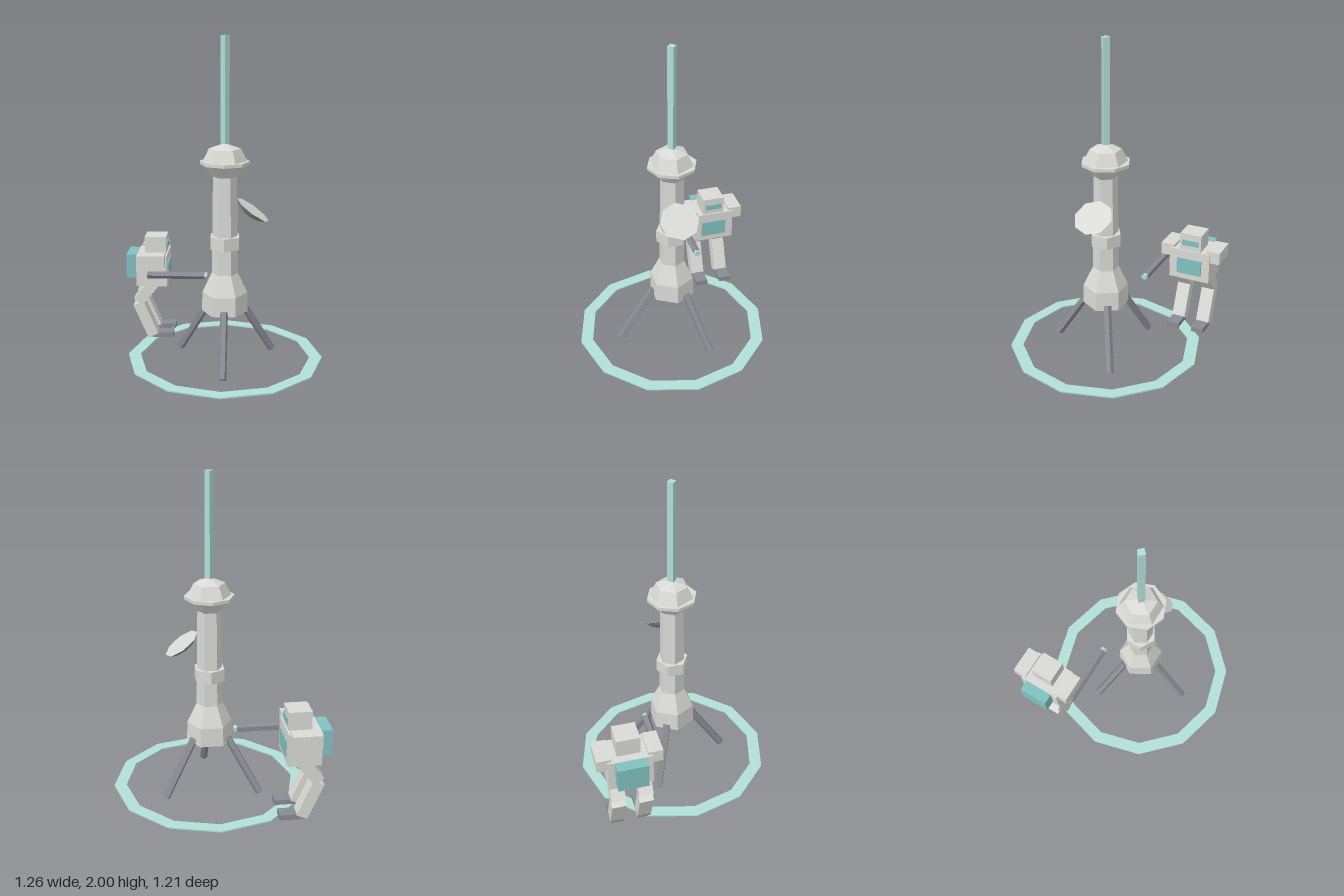
import * as THREE from 'three';

const material = (name, color) => {
  const m = new THREE.MeshStandardMaterial({ color, flatShading: true });
  m.name = name;
  return m;
};

export function createModel() {
  const lightGrey = material('lightGrey', 0xd9d9d5);
  const darkGrey = material('darkGrey', 0x8a8c93);
  const paleTeal = material('paleTeal', 0xb1dfd6);
  const teal = material('teal', 0x82c1c1);

  const add = (parent, name, geometry, mat, x = 0, y = 0, z = 0) => {
    const mesh = new THREE.Mesh(geometry, mat);
    mesh.name = name;
    mesh.position.set(x, y, z);
    parent.add(mesh);
    return mesh;
  };
  // Box given by its extents on each axis
  const box = (parent, name, mat, [x0, x1], [y0, y1], [z0, z1]) =>
    add(parent, name, new THREE.BoxGeometry(x1 - x0, y1 - y0, z1 - z0), mat,
      (x0 + x1) / 2, (y0 + y1) / 2, (z0 + z1) / 2);
  // Prism running between two points
  const bar = (parent, name, mat, from, to, radius, sides) => {
    const a = new THREE.Vector3(...from), b = new THREE.Vector3(...to);
    const d = b.clone().sub(a);
    const mesh = add(parent, name, new THREE.CylinderGeometry(radius, radius, d.length(), sides), mat);
    mesh.position.copy(a).add(b).multiplyScalar(0.5);
    mesh.quaternion.setFromUnitVectors(new THREE.Vector3(0, 1, 0), d.normalize());
    return mesh;
  };
  const profile = (pts) => pts.map(([r, y]) => new THREE.Vector2(r, y));

  const model = new THREE.Group();
  model.name = 'towerAndRobot';

  // ---- Tower ----
  const tower = new THREE.Group();
  tower.name = 'tower';
  tower.position.x = 0.023;
  model.add(tower);

  // Flat twelve-sided ground ring
  const ngon = (r) => Array.from({ length: 12 }, (_, i) =>
    new THREE.Vector2(r * Math.cos(i * Math.PI / 6), r * Math.sin(i * Math.PI / 6)));
  const ringShape = new THREE.Shape(ngon(0.605));
  ringShape.holes.push(new THREE.Path(ngon(0.528)));
  const ringGeometry = new THREE.ExtrudeGeometry(ringShape, { depth: 0.008, bevelEnabled: false });
  ringGeometry.rotateX(-Math.PI / 2);
  add(tower, 'groundRing', ringGeometry, paleTeal, 0, 0.021, 0);

  // Hexagonal column with wide foot and flared top
  add(tower, 'column', new THREE.LatheGeometry(profile([
    [0, 0.325], [0.142, 0.325], [0.138, 0.445], [0.08, 0.57], [0.072, 1.17], [0.135, 1.245], [0, 1.245],
  ]), 6, Math.PI / 6), lightGrey);
  add(tower, 'collar', new THREE.CylinderGeometry(0.099, 0.099, 0.077, 6), lightGrey, 0, 0.767, 0);

  // Head: octagonal brim and low hexagonal dome
  add(tower, 'brim', new THREE.CylinderGeometry(0.15, 0.15, 0.02, 8), lightGrey, 0, 1.255, 0);
  const dome = add(tower, 'dome',
    new THREE.SphereGeometry(0.135, 6, 2, 0, Math.PI * 2, 0, Math.PI / 2), lightGrey, 0, 1.258, 0);
  dome.scale.y = 0.85;
  add(tower, 'antenna', new THREE.CylinderGeometry(0.027, 0.027, 0.63, 4), paleTeal, 0, 1.685, 0);

  // Tripod legs, one to the front
  for (let i = 0; i < 3; i++) {
    const a = i * Math.PI * 2 / 3;
    const at = (r, y) => [r * Math.sin(a), y, r * Math.cos(a)];
    bar(tower, 'tripodLeg', darkGrey, at(0.12, 0.355), at(0.338, 0.015), 0.025, 5);
  }

  // Tilted dish
  const dish = new THREE.Group();
  dish.name = 'dish';
  dish.position.set(0.169, 0.967, 0);
  dish.rotation.z = -0.62;
  tower.add(dish);
  add(dish, 'dishBowl', new THREE.LatheGeometry(profile([
    [0, -0.042], [0.05, -0.036], [0.09, -0.021], [0.119, 0],
  ]), 8), darkGrey);
  const face = new THREE.CircleGeometry(0.119, 8);
  face.rotateX(-Math.PI / 2);
  add(dish, 'dishFace', face, lightGrey);

  // ---- Robot, looking toward +x ----
  const robot = new THREE.Group();
  robot.name = 'robot';
  robot.position.z = -0.404;
  model.add(robot);

  box(robot, 'torso', lightGrey, [-0.564, -0.366], [0.383, 0.585], [-0.134, 0.134]);
  box(robot, 'head', lightGrey, [-0.514, -0.375], [0.58, 0.697], [-0.071, 0.071]);
  box(robot, 'visor', teal, [-0.375, -0.366], [0.62, 0.655], [-0.054, 0.054]);
  box(robot, 'chestPlate', teal, [-0.366, -0.358], [0.422, 0.527], [-0.082, 0.082]);
  box(robot, 'backpack', teal, [-0.633, -0.564], [0.425, 0.583], [-0.092, 0.092]);

  // Limb box in the side plane, between two (x, y) joints
  const limb = (name, [x0, y0], [x1, y1], z) => {
    const mesh = add(robot, name,
      new THREE.BoxGeometry(0.072, Math.hypot(x1 - x0, y1 - y0), 0.086), lightGrey,
      (x0 + x1) / 2, (y0 + y1) / 2, z);
    mesh.rotation.z = Math.atan2(x0 - x1, y1 - y0);
  };
  for (const s of [-1, 1]) {
    const inner = s * 0.108, outer = s * 0.197;
    box(robot, 'shoulder', lightGrey, [-0.55, -0.376], [0.524, 0.603],
      [Math.min(inner, outer), Math.max(inner, outer)]);
    const z = s * 0.084;
    limb('thigh', [-0.557, 0.27], [-0.445, 0.41], z);
    limb('shin', [-0.46, 0.04], [-0.555, 0.262], z);
    box(robot, 'foot', darkGrey, [-0.5, -0.328], [0.026, 0.06], [z - 0.04, z + 0.04]);
  }

  // Gun hanging at the robot's near side
  bar(robot, 'gunBarrel', darkGrey, [-0.482, 0.483, 0.197], [-0.117, 0.483, 0.197], 0.025, 5);
  bar(robot, 'gunMuzzle', paleTeal, [-0.117, 0.483, 0.197], [-0.098, 0.483, 0.197], 0.021, 5);

  return model;
}
